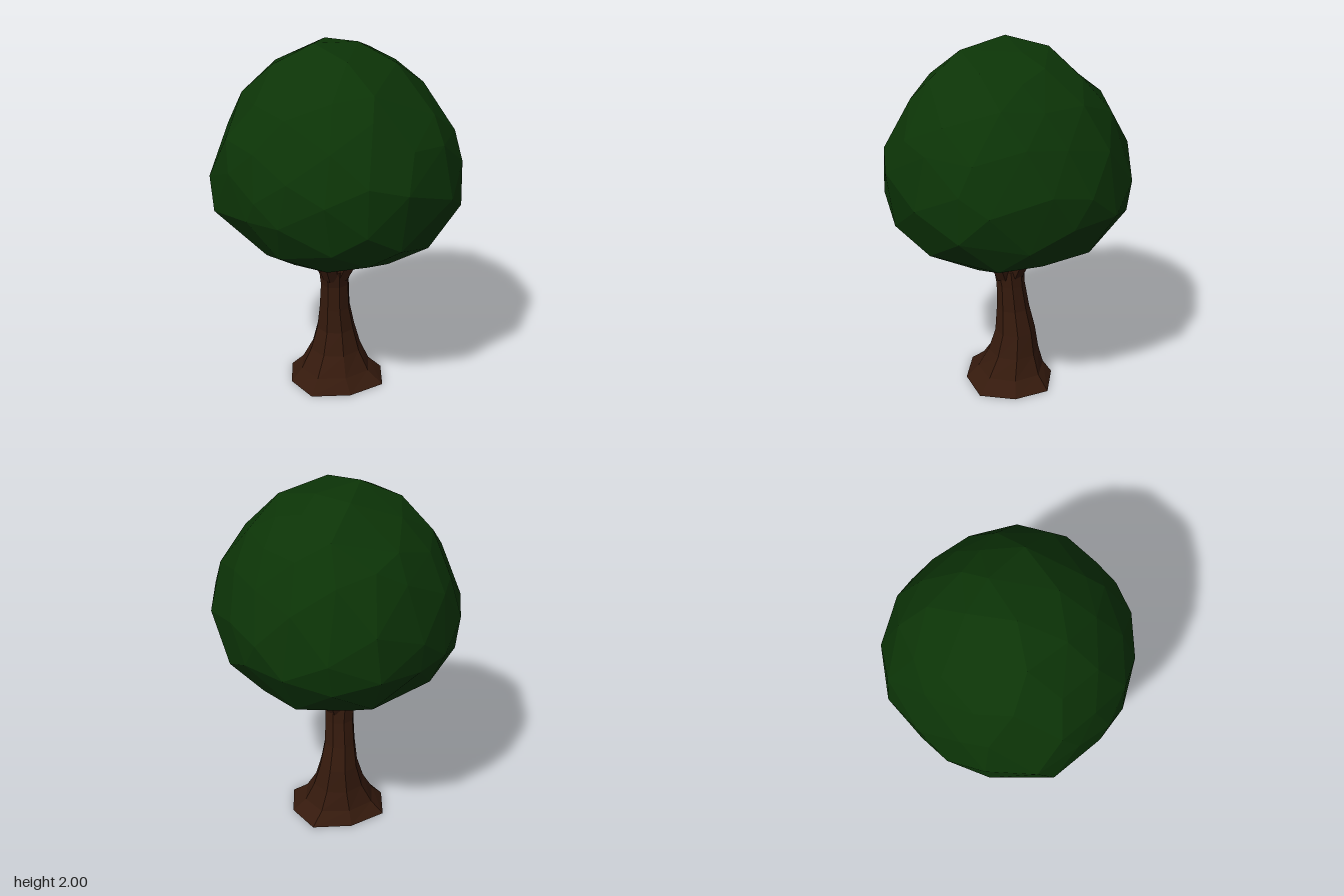
import * as THREE from 'three';
import { mergeVertices } from 'three/addons/utils/BufferGeometryUtils.js';

const bark = new THREE.MeshStandardMaterial({ color: 0x351a0d, flatShading: true });
const leaf = new THREE.MeshStandardMaterial({ color: 0x0c3407, flatShading: true });

function seeded(seed) {
  return () => {
    seed = (seed * 16807) % 2147483647;
    return seed / 2147483647 - 0.5;
  };
}

// Linear lookup in evenly spaced values
function sample(list, t) {
  const i = Math.min(Math.floor(t), list.length - 2);
  return THREE.MathUtils.lerp(list[i], list[i + 1], t - i);
}

// Skin through horizontal rings [cx, y, cz, rx, rz, corner], bottom to top, with closed ends.
// corner pushes every second vertex outward.
function loft(rings, sides) {
  const pos = [], index = [];
  for (const [cx, y, cz, rx, rz, corner = 1] of rings) {
    for (let i = 0; i < sides; i++) {
      const a = (i / sides) * Math.PI * 2, f = i % 2 ? corner : 1;
      pos.push(cx + f * rx * Math.cos(a), y, cz + f * rz * Math.sin(a));
    }
  }
  for (let k = 0; k < rings.length - 1; k++) {
    for (let i = 0; i < sides; i++) {
      const a = k * sides + i, b = k * sides + ((i + 1) % sides);
      index.push(a, a + sides, b, b, a + sides, b + sides);
    }
  }
  const top = (rings.length - 1) * sides;
  for (let i = 1; i < sides - 1; i++) {
    index.push(0, i, i + 1, top, top + i + 1, top + i);
  }
  const geo = new THREE.BufferGeometry();
  geo.setAttribute('position', new THREE.Float32BufferAttribute(pos, 3));
  geo.setIndex(index);
  geo.computeVertexNormals();
  return geo;
}

// Crown radius by elevation (-90 to 90 degrees) and by compass direction (+x towards +z)
const PROFILE = [0.42, 0.48, 0.585, 0.63, 0.69, 0.695, 0.67, 0.64, 0.623, 0.625, 0.64, 0.655, 0.655];
const OUTLINE = [0.67, 0.7, 0.7, 0.68, 0.67, 0.645, 0.64, 0.625, 0.675,
  0.645, 0.63, 0.625, 0.67, 0.68, 0.69, 0.66, 0.67];
// Lobes hanging from the underside [x, z]
const LOBES = [[0.38, 0.08], [-0.24, 0.26], [-0.23, -0.28]];

// Faceted ball with a dished underside
function canopyGeometry() {
  let geo = new THREE.IcosahedronGeometry(1, 2);
  geo.deleteAttribute('uv');
  geo.deleteAttribute('normal');
  geo = mergeVertices(geo, 1e-3);
  const rnd = seeded(4217), p = geo.attributes.position, v = new THREE.Vector3();
  for (let i = 0; i < p.count; i++) {
    v.fromBufferAttribute(p, i);
    v.x += rnd() * 0.18;
    v.y += rnd() * 0.18;
    v.z += rnd() * 0.18;
    v.normalize();
    const elevation = Math.asin(v.y) / Math.PI + 0.5;
    const compass = (Math.atan2(v.z, v.x) / (2 * Math.PI) + 1) % 1;
    const around = sample(OUTLINE, compass * 16) / 0.665;
    const flat = Math.hypot(v.x, v.z);
    v.multiplyScalar(sample(PROFILE, elevation * 12) * THREE.MathUtils.lerp(1, around, flat) + rnd() * 0.012);
    if (v.y < -0.35) {
      for (const [x, z] of LOBES) {
        v.y -= 0.055 * Math.exp(-((v.x - x) ** 2 + (v.z - z) ** 2) / 0.03);
      }
    }
    p.setXYZ(i, v.x, v.y + 1.35, v.z);
  }
  geo.computeVertexNormals();
  return geo;
}

export function createModel() {
  const tree = new THREE.Group();
  tree.name = 'tree';
  const add = (name, geo, mat) => {
    const mesh = new THREE.Mesh(geo, mat);
    mesh.name = name;
    tree.add(mesh);
  };

  // Trunk with flared foot
  add('trunk', loft([
    [0.025, 0, -0.01, 0.275, 0.25, 1.1],
    [0.02, 0.07, -0.02, 0.205, 0.19, 1.05],
    [0.027, 0.18, -0.035, 0.15, 0.145],
    [0.03, 0.31, -0.045, 0.112, 0.115],
    [0.02, 0.45, -0.033, 0.09, 0.093],
    [0.017, 0.6, -0.02, 0.083, 0.08],
    [0.01, 0.7, -0.01, 0.09, 0.088],
    [0.01, 0.78, -0.012, 0.035, 0.035],
  ], 8), bark);

  // Branches spreading into the crown
  const tips = [[0.18, -0.15], [-0.14, -0.14], [0.18, 0.16], [-0.14, 0.14]];
  tips.forEach(([x, z], i) => {
    const at = (t, y, r) => [0.01 + (x - 0.01) * t, y, -0.01 + (z + 0.01) * t, r, r];
    add('branch' + (i + 1), loft([
      at(0.15, 0.64, 0.05),
      at(0.32, 0.73, 0.058),
      at(0.62, 0.81, 0.054),
      at(0.98, 0.88, 0.048),
      at(1.25, 0.95, 0.035),
    ], 6), bark);
  });

  add('canopy', canopyGeometry(), leaf);
  return tree;
}
